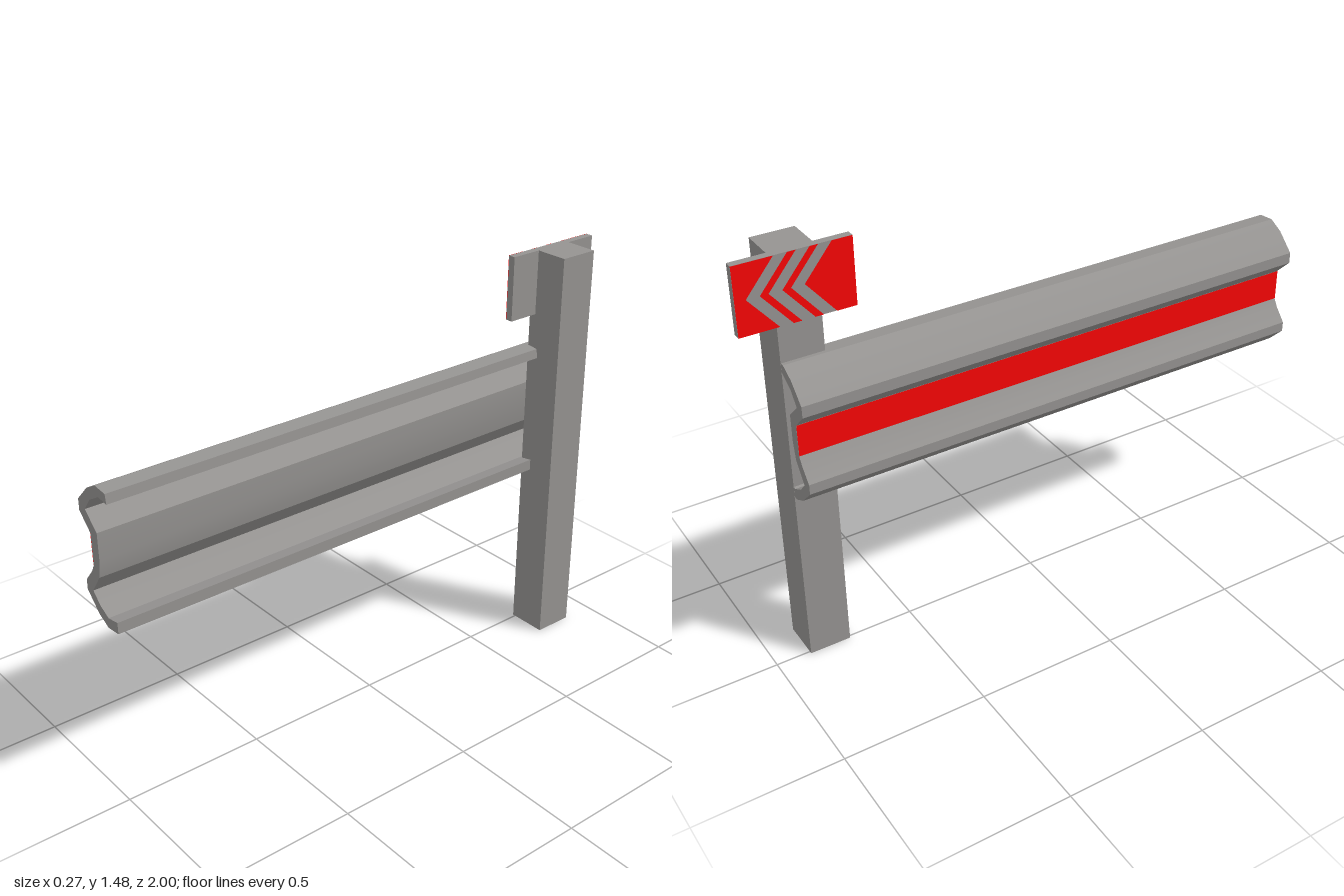
import * as THREE from 'three';
import { toCreasedNormals } from 'three/addons/utils/BufferGeometryUtils.js';

const steel = new THREE.MeshStandardMaterial({ color: 0x959391 });
const red = new THREE.MeshStandardMaterial({ color: 0xf80606, side: THREE.DoubleSide });

const toShape = (points) => new THREE.Shape(points.map(([x, y]) => new THREE.Vector2(x, y)));

function addMesh(group, name, geometry, material, x = 0, y = 0, z = 0) {
  const mesh = new THREE.Mesh(geometry, material);
  mesh.name = name;
  mesh.position.set(x, y, z);
  group.add(mesh);
}

export function createModel() {
  const model = new THREE.Group();
  model.name = 'guardRail';

  // Square post
  addMesh(model, 'post', new THREE.BoxGeometry(0.145, 1.48, 0.145), steel, 0.0625, 0.74, -0.808);

  // Corrugated rail: outer contour from top to bottom, then inner contour back up
  const webTop = 0.949, webBottom = 0.839, webX = -0.08;
  const outer = [
    [0.032, 1.125], [-0.025, 1.13], [-0.075, 1.103], [-0.136, 1.043], [-0.136, 1.004],
    [webX, webTop], [webX, webBottom], [-0.097, 0.81], [-0.136, 0.765], [-0.136, 0.73],
    [-0.075, 0.67], [-0.025, 0.645], [0.033, 0.651],
  ];
  const inner = [
    [0.033, 0.691], [-0.02, 0.682], [-0.065, 0.706], [-0.1, 0.742], [-0.053, 0.808],
    [-0.041, 0.87], [-0.041, 0.966], [-0.1, 1.022], [-0.065, 1.067], [-0.01, 1.098], [0.036, 1.092],
  ];
  const railLength = 1.88;
  const railGeometry = new THREE.ExtrudeGeometry(toShape([...outer, ...inner]), {
    depth: railLength, bevelEnabled: false,
  });
  addMesh(model, 'rail', toCreasedNormals(railGeometry, 0.35), steel, 0, 0, 1 - railLength);

  // Red band on the flat web of the rail
  const band = new THREE.PlaneGeometry(railLength, webTop - webBottom);
  band.rotateY(-Math.PI / 2);
  addMesh(model, 'redBand', band, red, webX - 0.0015, (webTop + webBottom) / 2, 1 - railLength / 2);

  // Marker plate
  const sign = new THREE.Group();
  sign.name = 'markerPlate';
  sign.position.set(0.0025, 1.365, -0.81);
  model.add(sign);
  const w = 0.19, h = 0.115;
  addMesh(sign, 'plate', new THREE.BoxGeometry(0.026, 2 * h, 2 * w), steel);

  // Red areas of the plate, leaving three bare chevrons that point backwards
  const slant = 0.095, stripe = 0.043, pitch = 0.07, firstTip = -0.155;
  const chevronEdge = (tip) => [[tip + slant, h], [tip, 0], [tip + slant, -h]];
  const leftEdge = [[-w, h], [-w, -h]];
  const rightEdge = [[w, h], [w, -h]];
  for (let i = 0; i <= 3; i++) {
    const start = i === 0 ? leftEdge : chevronEdge(firstTip + (i - 1) * pitch + stripe);
    const end = i === 3 ? rightEdge : chevronEdge(firstTip + i * pitch);
    const patch = new THREE.ShapeGeometry(toShape([...start, ...end.reverse()]));
    patch.rotateY(-Math.PI / 2);
    addMesh(sign, 'redPatch', patch, red, -0.0145);
  }

  return model;
}
